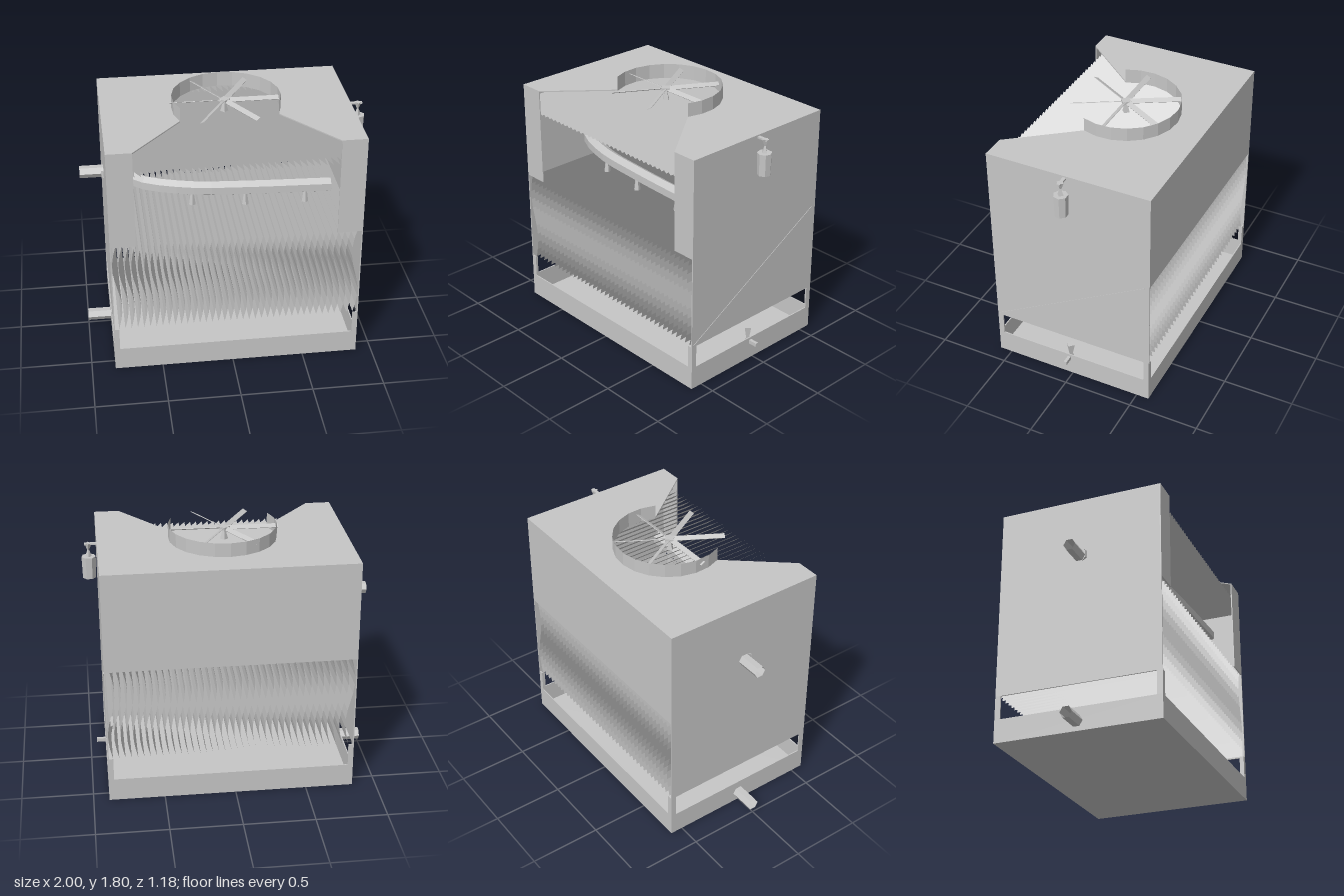
import * as THREE from 'three';

export function createModel() {
  const model = new THREE.Group();
  const grey = new THREE.MeshStandardMaterial({ color: 0xc6c6c6, flatShading: true, side: THREE.DoubleSide });
  grey.name = 'light grey metal';

  const add = (name, geo, x = 0, y = 0, z = 0, parent = model) => {
    const m = new THREE.Mesh(geo, grey);
    m.name = name;
    m.position.set(x, y, z);
    parent.add(m);
    return m;
  };
  // box given by its lower and upper limits
  const box = (name, x0, x1, y0, y1, z0, z1) =>
    add(name, new THREE.BoxGeometry(x1 - x0, y1 - y0, z1 - z0), (x0 + x1) / 2, (y0 + y1) / 2, (z0 + z1) / 2);

  const L = -0.835, R = 0.89, Z = 0.59, T = 0.008;

  // open basin
  box('basinFloor', L, R, 0, T, -Z, Z);
  box('basinFront', L, R, 0, 0.165, Z - T, Z);
  box('basinBack', L, R, 0, 0.165, -Z, -Z + T);
  box('basinRight', L, L + T, 0, 0.165, -Z, Z);
  box('basinLeft', R - T, R, 0, 0.165, -Z, Z);

  // angle posts at the four corners, carrying the casing
  for (const s of [-1, 1]) {
    const z0 = s > 0 ? Z - T : -Z, z1 = s > 0 ? Z : -Z + T;
    const a = s > 0 ? Z - 0.04 : -Z, b = s > 0 ? Z : -Z + 0.04;
    box('cornerPost', L, L + 0.038, 0.165, 0.33, z0, z1);
    box('cornerPost', R - 0.038, R, 0.165, 0.33, z0, z1);
    box('cornerPost', L, L + T, 0.165, 0.33, a, b);
    box('cornerPost', R - T, R, 0.165, 0.33, a, b);
  }

  // casing panels
  box('rightPanel', L, L + T, 0.33, 1.7, -Z, Z);
  box('leftPanel', R - T, R, 0.33, 1.7, -Z, Z);
  box('backPanel', L, R, 1, 1.7, -Z, -Z + T);
  box('frontPanelRight', L, -0.66, 1, 1.7, Z - T, Z);
  box('frontPanelLeft', 0.715, R, 1, 1.7, Z - T, Z);

  // slim diagonal brace on the left panel
  const brace = add('diagonalBrace', new THREE.BoxGeometry(0.004, 0.014, 1.3), R + 0.001, 0.66, 0.01);
  brace.rotation.x = Math.atan2(0.65, 1.14);

  // roof with a round opening that widens to the front
  const cx = 0.025, rad = 0.375, start = 1.176, sweep = 4.01, steps = 14;
  const roof = new THREE.Shape();
  roof.moveTo(L, -Z);
  roof.lineTo(R, -Z);
  roof.lineTo(R, Z);
  roof.lineTo(0.715, Z);
  for (let i = 0; i <= steps; i++) {
    const t = start + (sweep * i) / steps;
    roof.lineTo(cx + rad * Math.sin(t), rad * Math.cos(t));
  }
  roof.lineTo(-0.66, Z);
  roof.lineTo(L, Z);
  roof.closePath();
  const roofGeo = new THREE.ExtrudeGeometry(roof, { depth: T, bevelEnabled: false });
  roofGeo.rotateX(Math.PI / 2);
  add('roof', roofGeo, 0, 1.704, 0);

  // fan shroud, open at the front
  add('fanShroud', new THREE.CylinderGeometry(rad, rad, 0.105, steps, 1, true, start, sweep), cx, 1.748, 0);

  // fan with six pitched blades
  const fan = new THREE.Group();
  fan.name = 'fan';
  fan.position.set(0.012, 1.765, 0.01);
  model.add(fan);
  for (let i = 0; i < 6; i++) {
    const arm = new THREE.Group();
    arm.name = 'bladeArm';
    arm.rotation.y = (i * Math.PI) / 3;
    fan.add(arm);
    const blade = add('blade', new THREE.BoxGeometry(0.35, 0.004, 0.036), 0.2, 0, 0, arm);
    blade.rotation.x = 0.5;
  }
  add('hub', new THREE.CylinderGeometry(0.04, 0.04, 0.02, 4), 0, 0, 0, fan);
  add('hubCone', new THREE.CylinderGeometry(0.008, 0.028, 0.07, 4), 0, -0.045, 0, fan);

  // thin sheet following a list of [x, y] points, running front to back
  const sheet = (pts) => {
    const pos = [], idx = [];
    pts.forEach(([x, y], i) => {
      pos.push(x, y, Z - 0.01, x, y, -Z + 0.01);
      if (i) idx.push(2 * i - 2, 2 * i, 2 * i - 1, 2 * i - 1, 2 * i, 2 * i + 1);
    });
    const g = new THREE.BufferGeometry();
    g.setAttribute('position', new THREE.Float32BufferAttribute(pos, 3));
    g.setIndex(idx);
    g.computeVertexNormals();
    return g;
  };

  // wavy fill sheets and slanted drift eliminators
  const wave = [];
  for (let i = 0; i <= 10; i++) wave.push([0.028 * Math.sin((i / 10) * Math.PI * 2), 0.33 + 0.067 * i]);
  const fill = sheet(wave);
  const slat = sheet([[-0.045, 1.6], [0.045, 1.52]]);
  const count = 39;
  for (let i = 0; i < count; i++) {
    const f = i / (count - 1);
    add('fillSheet', fill, -0.797 + 1.65 * f);
    add('driftEliminator', slat, -0.78 + 1.616 * f);
  }

  // water header bending forward from the inlet
  const path = new THREE.CatmullRomCurve3([
    [-0.83, 1.27, 0.01], [-0.7, 1.27, 0.08], [-0.56, 1.274, 0.22], [-0.26, 1.275, 0.33],
    [0.11, 1.275, 0.37], [0.69, 1.275, 0.4],
  ].map((p) => new THREE.Vector3(...p)));
  add('waterHeader', new THREE.TubeGeometry(path, 14, 0.052, 6, false));
  add('headerCap', new THREE.CircleGeometry(0.05, 6).rotateY(Math.PI / 2), 0.688, 1.275, 0.4);
  for (const [x, z] of [[-0.25, 0.33], [0.11, 0.37], [0.52, 0.385]])
    add('sprayNozzle', new THREE.CylinderGeometry(0.012, 0.024, 0.085, 5), x, 1.192, z);

  // inlet and outlet pipe stubs
  for (const [name, y] of [['inletPipe', 1.27], ['outletPipe', 0.07]]) {
    const g = new THREE.CylinderGeometry(0.043, 0.043, 0.17, 6, 1, true).rotateZ(Math.PI / 2);
    add(name, g, -0.915, y, 0);
  }

  // motor hanging from a bracket on the left side
  add('motor', new THREE.CylinderGeometry(0.05, 0.046, 0.155, 7), 0.948, 1.52, 0.012);
  add('motorStem', new THREE.CylinderGeometry(0.006, 0.022, 0.05, 4), 0.948, 1.622, 0.012);
  add('motorYoke', new THREE.CylinderGeometry(0.026, 0.006, 0.05, 4), 0.948, 1.668, 0.012);
  box('motorBracket', 0.88, 0.975, 1.682, 1.694, 0, 0.024);

  // make-up water valve at the basin
  add('valveHandle', new THREE.CylinderGeometry(0.032, 0.008, 0.12, 4), 0.865, 0.185, 0.025);
  box('makeUpPipe', 0.85, 0.955, 0.12, 0.147, 0.014, 0.036);

  return model;
}
